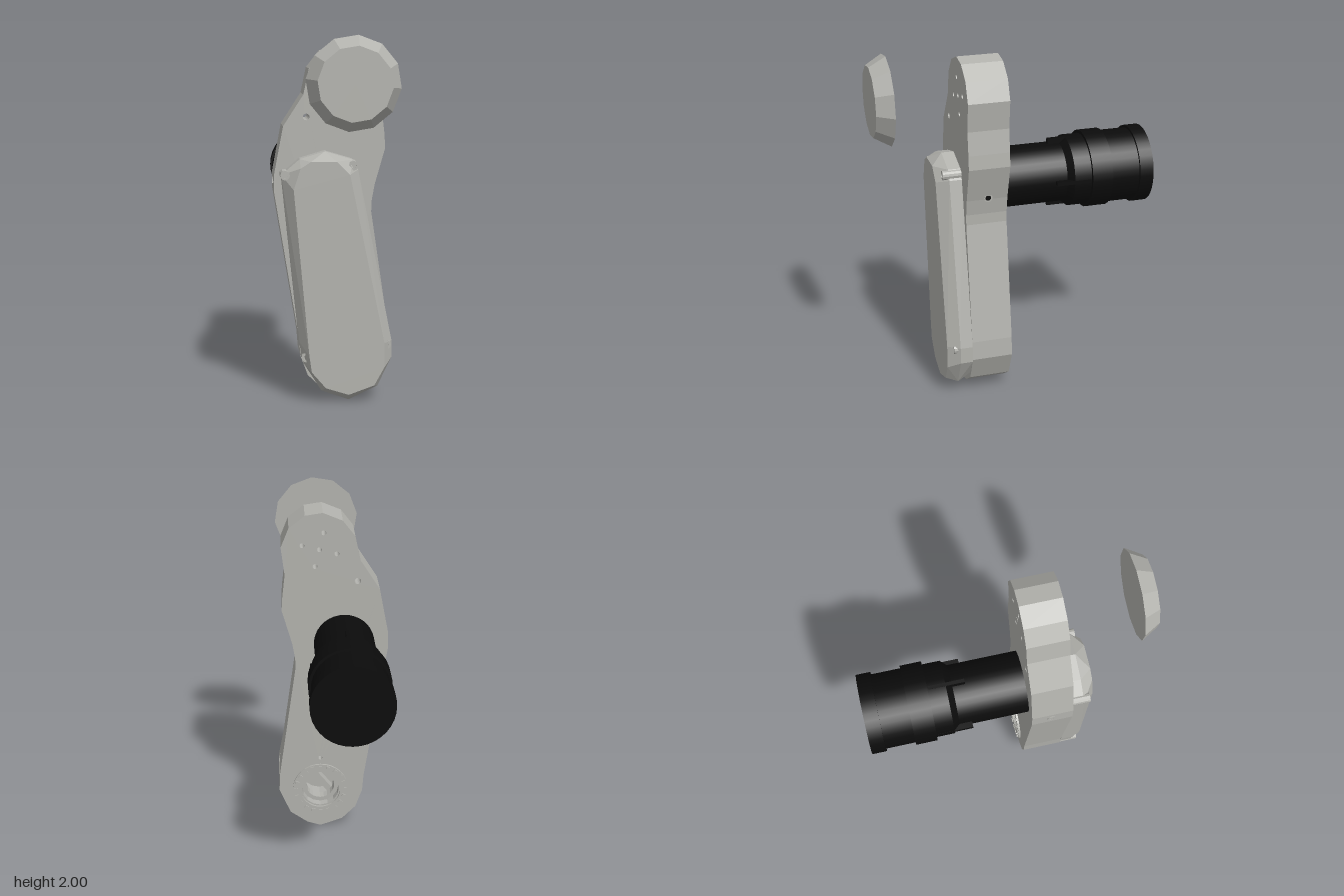
import * as THREE from 'three';
import { ConvexGeometry } from 'three/addons/geometries/ConvexGeometry.js';

const grey = new THREE.MeshStandardMaterial({ color: 0xb3b3ae });
grey.name = 'castGrey';
const black = new THREE.MeshStandardMaterial({ color: 0x0b0b0b });
black.name = 'motorBlack';

const AXLE = [0.07, 0.255];
const HUB = [0.07, 1.745];

const points = (list) => list.map(([x, y]) => new THREE.Vector2(x, y));

function circle(x, y, r, Type = THREE.Path) {
  const c = new Type();
  c.absarc(x, y, r, 0, Math.PI * 2, false);
  return c;
}

// Flat plate spanning z0 to z1
function plate(shape, z0, z1, curveSegments = 12) {
  const g = new THREE.ExtrudeGeometry(shape, { depth: z1 - z0, bevelEnabled: false, curveSegments });
  return g.translate(0, 0, z0);
}

function tube(x, y, z0, z1, outer, inner, segments) {
  const shape = circle(x, y, outer, THREE.Shape);
  shape.holes.push(circle(x, y, inner));
  return plate(shape, z0, z1, segments);
}

export function createModel() {
  const model = new THREE.Group();
  const add = (name, geometry, material = grey, parent = model) => {
    const mesh = new THREE.Mesh(geometry, material);
    mesh.name = name;
    parent.add(mesh);
    return mesh;
  };

  // Housing: waisted outline drilled with mounting holes and an axle bore
  const body = new THREE.Shape(points([
    [0.07, 0.005], [0.15, 0.03], [0.25, 0.1], [0.315, 0.25], [0.31, 0.36], [0.21, 1.04],
    [0.212, 1.1], [0.228, 1.19], [0.285, 1.39], [0.28, 1.47], [0.265, 1.6], [0.285, 1.76],
    [0.24, 1.87], [0.15, 1.94], [0.05, 1.955], [-0.06, 1.91], [-0.13, 1.82], [-0.16, 1.68],
    [-0.27, 1.51], [-0.32, 1.25], [-0.32, 1.15], [-0.188, 0.34], [-0.18, 0.24], [-0.14, 0.13],
    [-0.06, 0.05],
  ]));
  body.holes.push(circle(...AXLE, 0.11), circle(-0.145, 1.56, 0.018), circle(0.07, 0.46, 0.012));
  body.holes.push(circle(...HUB, 0.014));
  for (let i = 0; i < 4; i++) {
    const a = 0.25 + i * Math.PI / 2;
    body.holes.push(circle(HUB[0] + 0.1 * Math.cos(a), HUB[1] + 0.1 * Math.sin(a), 0.014));
  }
  add('housing', plate(body, 0.09, 0.32, 8));

  // Front cover: faceted, bevelled shell
  const rim = [
    [-0.285, 1.255], [-0.185, 1.34], [-0.05, 1.38], [0.1, 1.335], [0.13, 1.28], [0.317, 0.335],
    [0.317, 0.24], [0.24, 0.08], [0.08, 0.005], [-0.07, 0.06], [-0.17, 0.22], [-0.19, 0.335],
  ];
  const face = [
    [-0.222, 1.18], [-0.185, 1.295], [-0.13, 1.33], [0.01, 1.33], [0.08, 1.26], [0.27, 0.335],
    [0.27, 0.2], [0.215, 0.1], [0.075, 0.05], [-0.05, 0.09], [-0.127, 0.18], [-0.14, 0.27],
  ];
  add('frontCover', new ConvexGeometry([
    ...rim.map(([x, y]) => new THREE.Vector3(x, y < 0.1 ? y + 0.045 : y, 0.3205)),
    ...rim.map(([x, y]) => new THREE.Vector3(x, y, 0.39)),
    ...face.map(([x, y]) => new THREE.Vector3(x, y, 0.457)),
  ]));

  // Cover screws
  for (const [x, y] of [[-0.266, 1.255], [0.102, 1.305], [0.284, 0.32], [-0.155, 0.255]]) {
    const screw = new THREE.Group();
    screw.name = 'coverScrew';
    model.add(screw);
    add('screwRim', tube(x, y, 0.32, 0.425, 0.026, 0.014, 6), grey, screw);
    add('screwCore', plate(circle(x, y, 0.014, THREE.Shape), 0.32, 0.415, 6), grey, screw);
  }

  // Axle collar at the back, with teeth and an inner hub
  add('axleCollar', tube(...AXLE, 0.078, 0.0905, 0.165, 0.118, 16));
  add('axleBearing', tube(...AXLE, 0.14, 0.2, 0.112, 0.085, 12));
  for (let i = 0; i < 20; i++) {
    const a = i * Math.PI / 10;
    const tooth = add('collarTooth', new THREE.BoxGeometry(0.022, 0.02, 0.008));
    tooth.position.set(AXLE[0] + 0.146 * Math.cos(a), AXLE[1] + 0.146 * Math.sin(a), 0.076);
    tooth.rotation.z = a;
  }
  const bar = add('axleBar', new THREE.BoxGeometry(0.2, 0.035, 0.06));
  bar.position.set(...AXLE, 0.25);
  bar.rotation.z = 0.9;

  // Cross-drilled sockets on the two narrow sides
  for (const [x, dark] of [[0.23, true], [-0.319, false]]) {
    const side = Math.sign(x);
    const rimMesh = add('sideSocketRim', tube(0, 0, -0.01, 0.005, 0.024, 0.016, 8));
    rimMesh.position.set(x, 1.2, 0.2);
    rimMesh.rotation.y = side * Math.PI / 2;
    const core = add('sideSocket', new THREE.CylinderGeometry(0.018, 0.018, 0.014, 16), dark ? black : grey);
    core.position.set(x - side * 0.003, 1.2, 0.2);
    core.rotation.z = Math.PI / 2;
  }

  // Motor: stepped barrel; profile is radius against distance behind z = 0.09
  const profile = points([
    [0, 0], [0.173, 0], [0.173, 0.39], [0.205, 0.425], [0.205, 0.525], [0.223, 0.525],
    [0.223, 0.645], [0.209, 0.645], [0.209, 0.81], [0.223, 0.81], [0.223, 0.89], [0, 0.89],
  ]);
  // Each step is its own band so that edges stay sharp
  const motor = new THREE.Group();
  motor.name = 'motor';
  motor.position.set(-0.069, 1.187, 0.09);
  motor.rotation.x = -Math.PI / 2;
  model.add(motor);
  for (let i = 1; i < profile.length; i++) {
    add('motorBand', new THREE.LatheGeometry([profile[i - 1], profile[i]], 36), black, motor);
  }
  // Low ribs across the shoulder
  for (let i = 0; i < 4; i++) {
    const a = i * Math.PI / 2;
    const rib = add('motorRib', new THREE.BoxGeometry(0.02, 0.2, 0.08), black, motor);
    rib.position.set(0.165 * Math.sin(a), 0.42, 0.165 * Math.cos(a));
    rib.rotation.y = a;
  }

  // Pedal knob: twelve-sided frustum floating in front of the hub
  const knob = new THREE.CylinderGeometry(0.193, 0.247, 0.092, 12, 1, false, -0.1).toNonIndexed();
  knob.computeVertexNormals();
  knob.rotateX(Math.PI / 2);
  add('knob', knob).position.set(0.07, 1.755, 0.754);

  return model;
}
